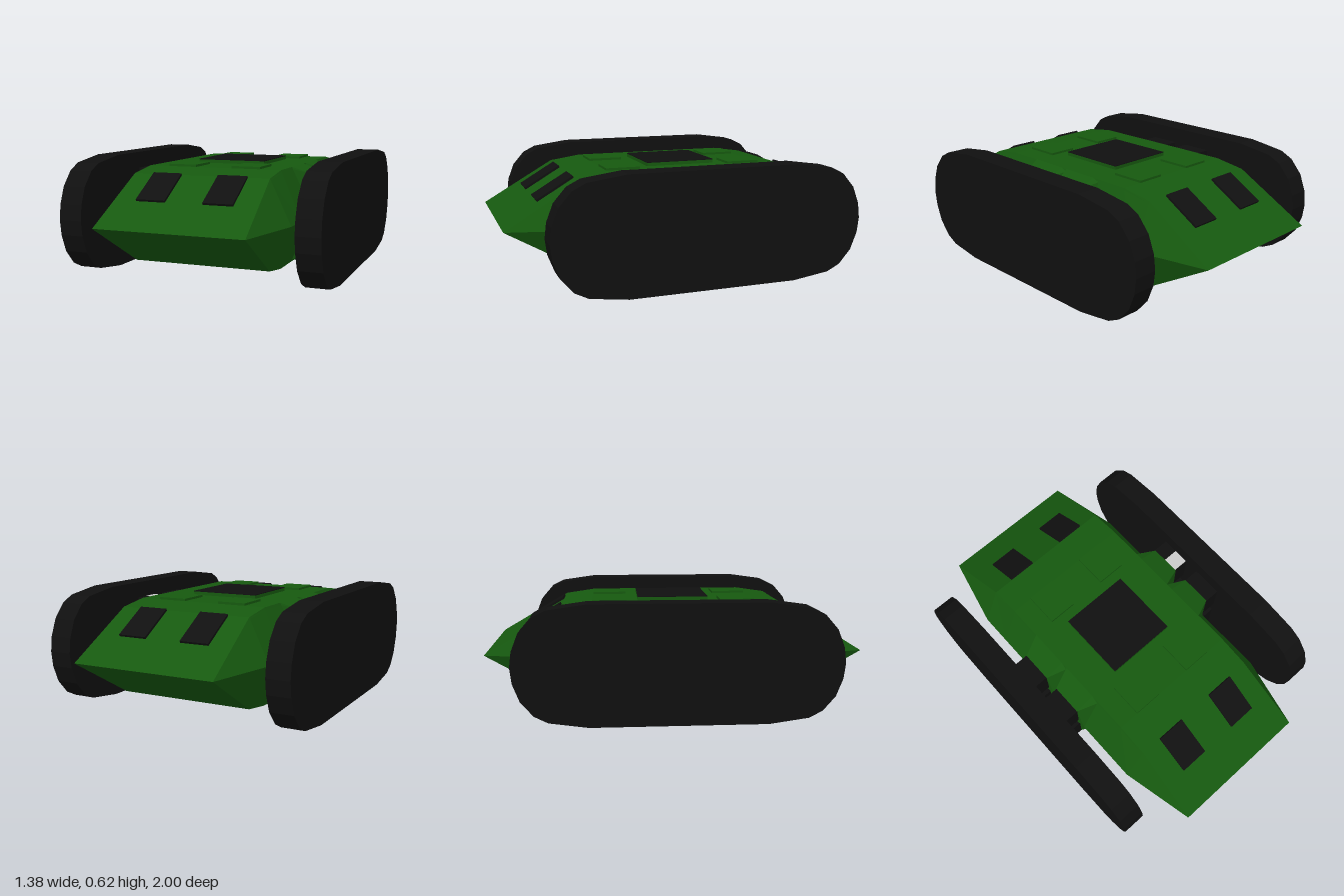
import * as THREE from 'three';

const paint = (color) => new THREE.MeshStandardMaterial({ color, flatShading: true });
const green = paint(0x16590f);
const black = paint(0x101010);
const grey = paint(0xcccccc);
const MID = 0.31; // height of the hull's widest line

function box(parent, name, size, pos, material) {
  const mesh = new THREE.Mesh(new THREE.BoxGeometry(...size), material);
  mesh.position.set(...pos);
  mesh.name = name;
  parent.add(mesh);
  return mesh;
}

// Hull skinned over mirrored cross-sections: wedge ends, with shoulders bulging at the track arms
function hullGeometry() {
  // z, top half width, top height, shoulder x, shoulder height, middle half width
  const half = [
    [1, 0.39, MID, 0.39, MID, 0.39],
    [0.61, 0.37, 0.54, 0.375, 0.53, 0.48],
    [0.44, 0.37, 0.565, 0.375, 0.553, 0.48],
    [0.255, 0.37, 0.565, 0.375, 0.553, 0.48],
    [0.21, 0.37, 0.565, 0.48, 0.525, 0.48],
    [0.04, 0.37, 0.565, 0.48, 0.525, 0.48],
  ];
  const stations = [
    ...half.map(([z, ...rest]) => [-z, ...rest]),
    [0, 0.37, 0.565, 0.375, 0.553, 0.48],
    ...half.slice().reverse(),
  ];
  const rings = stations.map(([z, tx, ty, sx, sy, mx]) => {
    const right = [[tx, ty], [sx, sy], [mx, MID], [sx, 2 * MID - sy], [tx, 2 * MID - ty]];
    const left = right.map(([x, y]) => [-x, y]).reverse();
    return [...right, ...left].map(([x, y]) => [x, y, z]);
  });
  const pos = [];
  for (let i = 0; i < rings.length - 1; i++) {
    for (let j = 0; j < 10; j++) {
      const k = (j + 1) % 10;
      const a = rings[i][j], b = rings[i][k], c = rings[i + 1][j], d = rings[i + 1][k];
      pos.push(...a, ...c, ...b, ...b, ...c, ...d);
    }
  }
  const geo = new THREE.BufferGeometry();
  geo.setAttribute('position', new THREE.Float32BufferAttribute(pos, 3));
  geo.computeVertexNormals();
  return geo;
}

// Solid track: rounded side outline extruded across its width
function trackGeometry() {
  const quarter = [[0.83, 0], [0.82, 0.08], [0.785, 0.17], [0.72, 0.245], [0.65, 0.28], [0.45, 0.308]];
  const upper = [...quarter, ...quarter.slice().reverse().map(([z, y]) => [-z, y])];
  const lower = upper.slice(1, -1).reverse().map(([z, y]) => [z, -y]);
  const shape = new THREE.Shape([...upper, ...lower].map(([z, y]) => new THREE.Vector2(z, y)));
  const geo = new THREE.ExtrudeGeometry(shape, { depth: 0.125, bevelEnabled: false });
  geo.translate(0, 0, -0.0625);
  geo.rotateY(Math.PI / 2);
  return geo;
}

export function createModel() {
  const model = new THREE.Group();
  model.name = 'trackedVehicle';

  const hull = new THREE.Mesh(hullGeometry(), green);
  hull.name = 'hull';
  model.add(hull);

  // Raised centre hatch with a dark lid
  box(model, 'centreHatchBase', [0.384, 0.03, 0.384], [0, 0.568, 0], green);
  box(model, 'centreHatchLid', [0.384, 0.004, 0.384], [0, 0.585, 0], black);

  // Windows on the sloped ends and small roof panels, same at front and back
  for (const turn of [0, Math.PI]) {
    const end = new THREE.Group();
    end.name = turn ? 'backFittings' : 'frontFittings';
    end.rotation.y = turn;
    for (const side of [-1, 1]) {
      const pane = box(end, 'window', [0.156, 0.02, 0.225], [side * 0.178, 0.483, 0.71], black);
      pane.rotation.x = Math.atan(0.23 / 0.39);
      box(end, 'roofPanel', [0.156, 0.03, 0.185], [side * 0.178, 0.562, 0.347], green);
    }
    model.add(end);
  }

  // Tracks, each held by four arms
  const trackShape = trackGeometry();
  for (const side of [-1, 1]) {
    const track = new THREE.Mesh(trackShape, black);
    track.name = side > 0 ? 'leftTrack' : 'rightTrack';
    track.position.set(side * 0.626, 0.308, 0);
    model.add(track);
    for (const z of [-0.127, 0.127]) {
      for (const y of [0.181, 0.438]) {
        box(model, 'trackArm', [0.13, 0.174, 0.17], [side * 0.515, y, z], black);
      }
    }
  }

  // Unpainted patches on two arms
  box(model, 'armPatch', [0.085, 0.004, 0.085], [0.523, 0.525, -0.087], grey);
  box(model, 'armPatch', [0.085, 0.085, 0.004], [-0.523, 0.14, 0.042], grey);
  return model;
}
